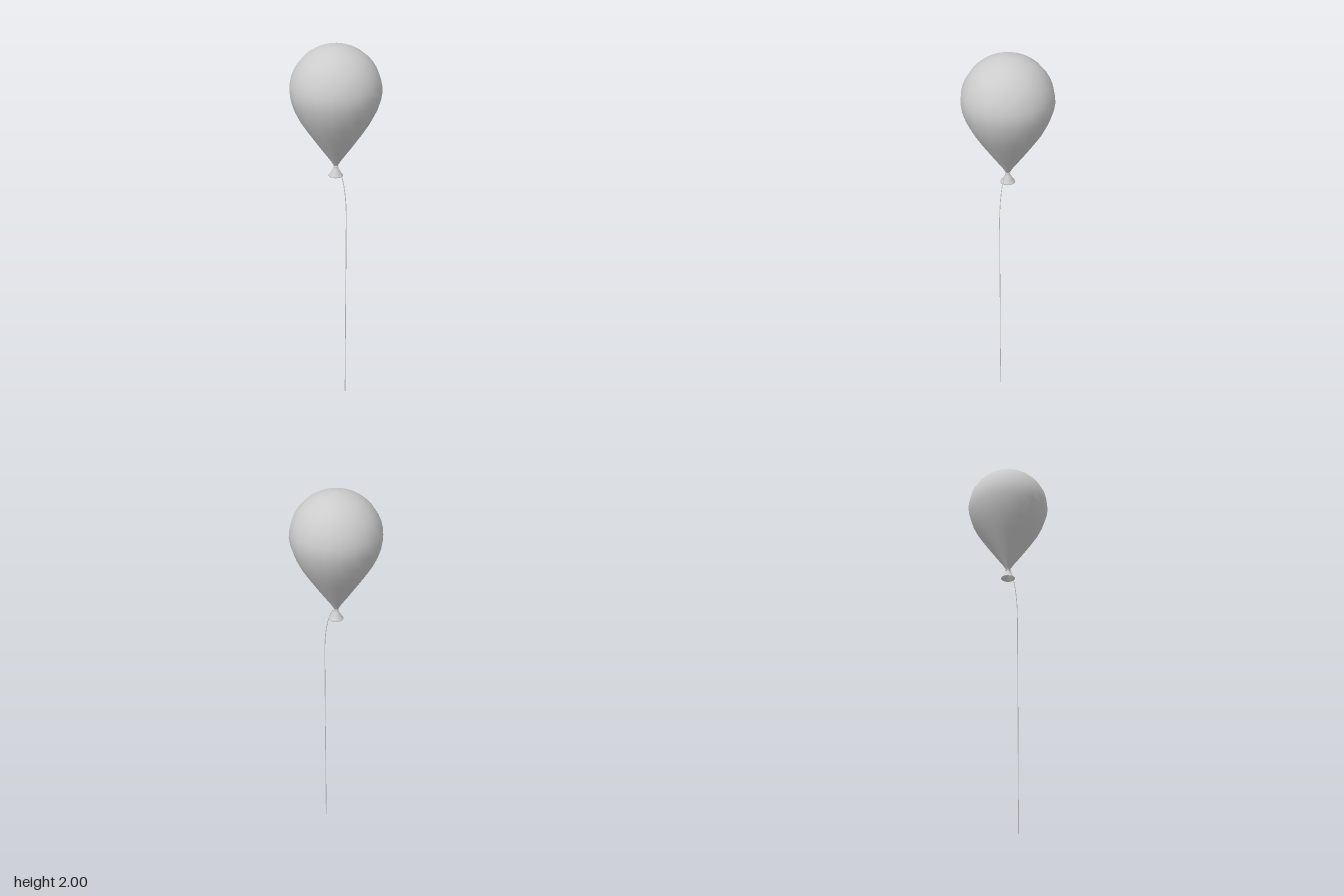
import * as THREE from 'three';

const SIDES = 20;

function lathe(name, points, material) {
  const profile = points.map(([r, y]) => new THREE.Vector2(r, y));
  const mesh = new THREE.Mesh(new THREE.LatheGeometry(profile, SIDES), material);
  mesh.name = name;
  return mesh;
}

export function createModel() {
  const group = new THREE.Group();
  group.name = 'balloon';
  const grey = new THREE.MeshStandardMaterial({ color: 0xcccccc });
  const thin = new THREE.MeshStandardMaterial({ color: 0xcccccc, side: THREE.DoubleSide });

  // Teardrop body: tapered lower part, then a round dome
  const body = [[0.008, 1.392], [0.03, 1.428], [0.066, 1.478], [0.102, 1.53], [0.138, 1.583], [0.172, 1.637], [0.198, 1.69], [0.214, 1.74]];
  const domeSteps = 10;
  for (let i = 0; i <= domeSteps; i++) {
    const a = (i / domeSteps) * Math.PI / 2;
    body.push([i === domeSteps ? 0 : 0.22 * Math.cos(a), 1.78 + 0.22 * Math.sin(a)]);
  }
  group.add(lathe('balloonBody', body, grey));

  // Flared, hollow mouth below the neck
  group.add(lathe('mouth', [[0.01, 1.385], [0.031, 1.348], [0.037, 1.341], [0.035, 1.345], [0.022, 1.36], [0.009, 1.388], [0.008, 1.398]].reverse(), thin));

  // Tied loop around the neck
  const knot = new THREE.Mesh(new THREE.TorusGeometry(0.01, 0.004, 6, SIDES), grey);
  knot.name = 'neckKnot';
  knot.rotation.x = Math.PI / 2;
  knot.position.y = 1.391;
  group.add(knot);

  // String: bends out from the neck and hangs straight down
  const path = new THREE.CurvePath();
  const bend = new THREE.Vector3(0.064, 1.12, 0.016);
  path.add(new THREE.CubicBezierCurve3(
    new THREE.Vector3(0.008, 1.392, 0.006),
    new THREE.Vector3(0.046, 1.36, 0.012),
    new THREE.Vector3(0.064, 1.24, 0.016),
    bend));
  path.add(new THREE.LineCurve3(bend, new THREE.Vector3(0.064, 0, 0.016)));
  const string = new THREE.Mesh(new THREE.TubeGeometry(path, 64, 0.002, 6, false), thin);
  string.name = 'string';
  group.add(string);

  return group;
}
